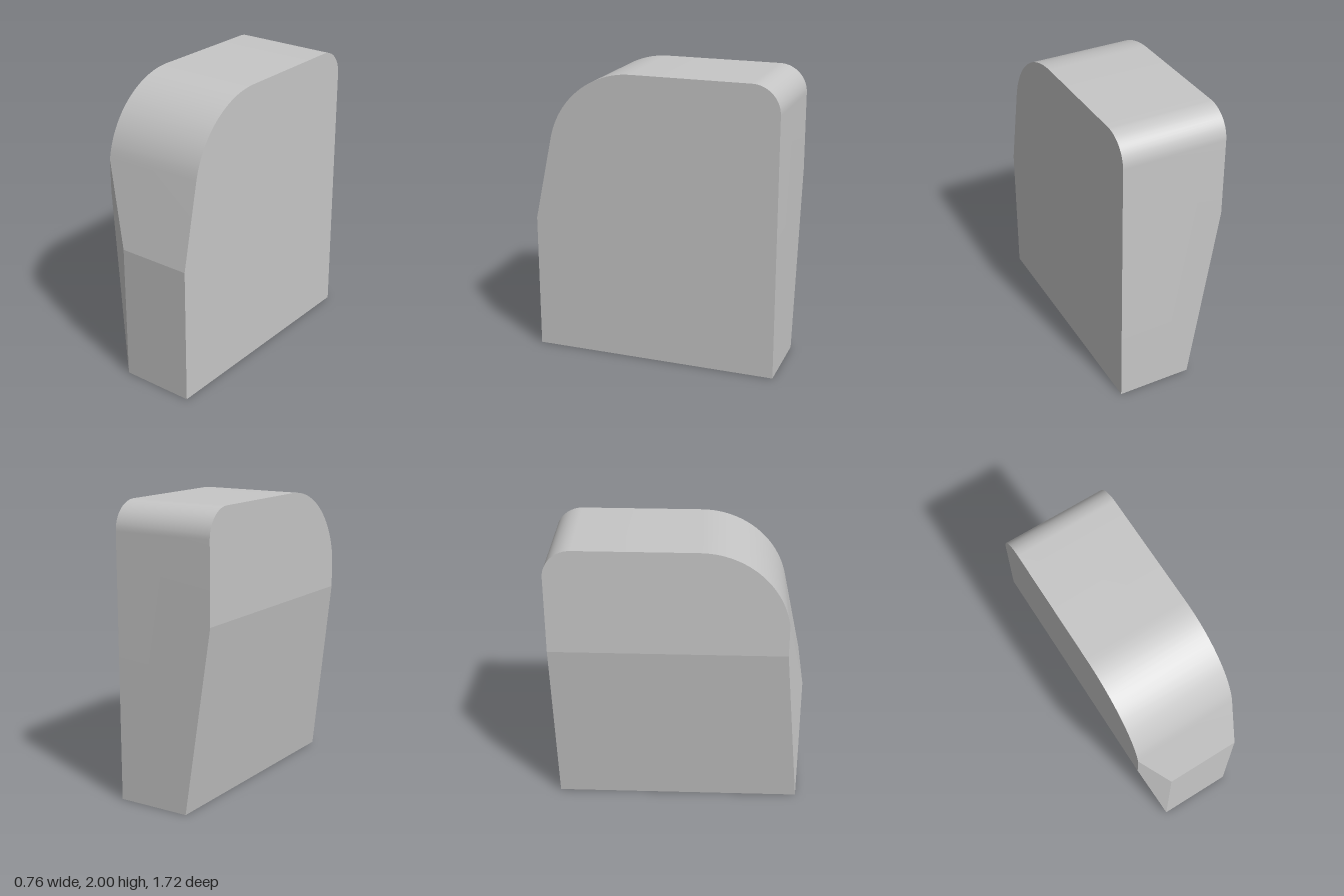
import * as THREE from 'three';
import { ConvexGeometry } from 'three/addons/geometries/ConvexGeometry.js';
import { toCreasedNormals } from 'three/addons/utils/BufferGeometryUtils.js';

const HALF_WIDTH = 0.358, HALF_DEPTH = 0.855, HEIGHT = 2;
const FOOT_X = -0.158;       // inner side of the tapered foot
const TAPER_Y = 1.27;        // where the taper of the side begins

// Points [z, y] along a circular arc
function arc(cz, cy, r, from, to, steps) {
  return Array.from({ length: steps + 1 }, (_, i) => {
    const a = from + (to - from) * i / steps;
    return [cz + r * Math.cos(a), cy + r * Math.sin(a)];
  });
}

export function createModel() {
  const grey = new THREE.MeshStandardMaterial({ color: 0xc6c6c6 });
  grey.name = 'grey';

  // Large front round, flat top and small back round
  const crown = [
    ...arc(0.148, HEIGHT - 0.595, 0.595, 0.212, Math.PI / 2, 24),
    ...arc(-HALF_DEPTH + 0.19, HEIGHT - 0.19, 0.19, Math.PI / 2, Math.PI, 18),
  ];
  const points = [];
  const add = (x, y, z) => points.push(new THREE.Vector3(x, y, z));
  for (const [z, y] of crown) {
    add(HALF_WIDTH, y, z);
    add(-HALF_WIDTH, y, z);
  }

  // Straight side: upright front below the sloping brow
  add(HALF_WIDTH, 0.95, HALF_DEPTH);
  add(HALF_WIDTH, 0, HALF_DEPTH);
  add(HALF_WIDTH, 0, -HALF_DEPTH);

  // Tapered side, with an upright chamfer at its front corner
  add(-HALF_WIDTH, 1.5, 0.7365);
  add(-HALF_WIDTH, TAPER_Y, 0.7365);
  add(-HALF_WIDTH, TAPER_Y, -HALF_DEPTH);
  add(FOOT_X, 0.95, HALF_DEPTH);
  add(FOOT_X, 0, HALF_DEPTH);
  add(FOOT_X, 0, -HALF_DEPTH);

  const body = new THREE.Mesh(toCreasedNormals(new ConvexGeometry(points), 0.12), grey);
  body.name = 'body';
  body.rotation.y = 0.0265;   // the block stands slightly turned

  const group = new THREE.Group();
  group.name = 'roundedBlock';
  group.add(body);
  return group;
}
